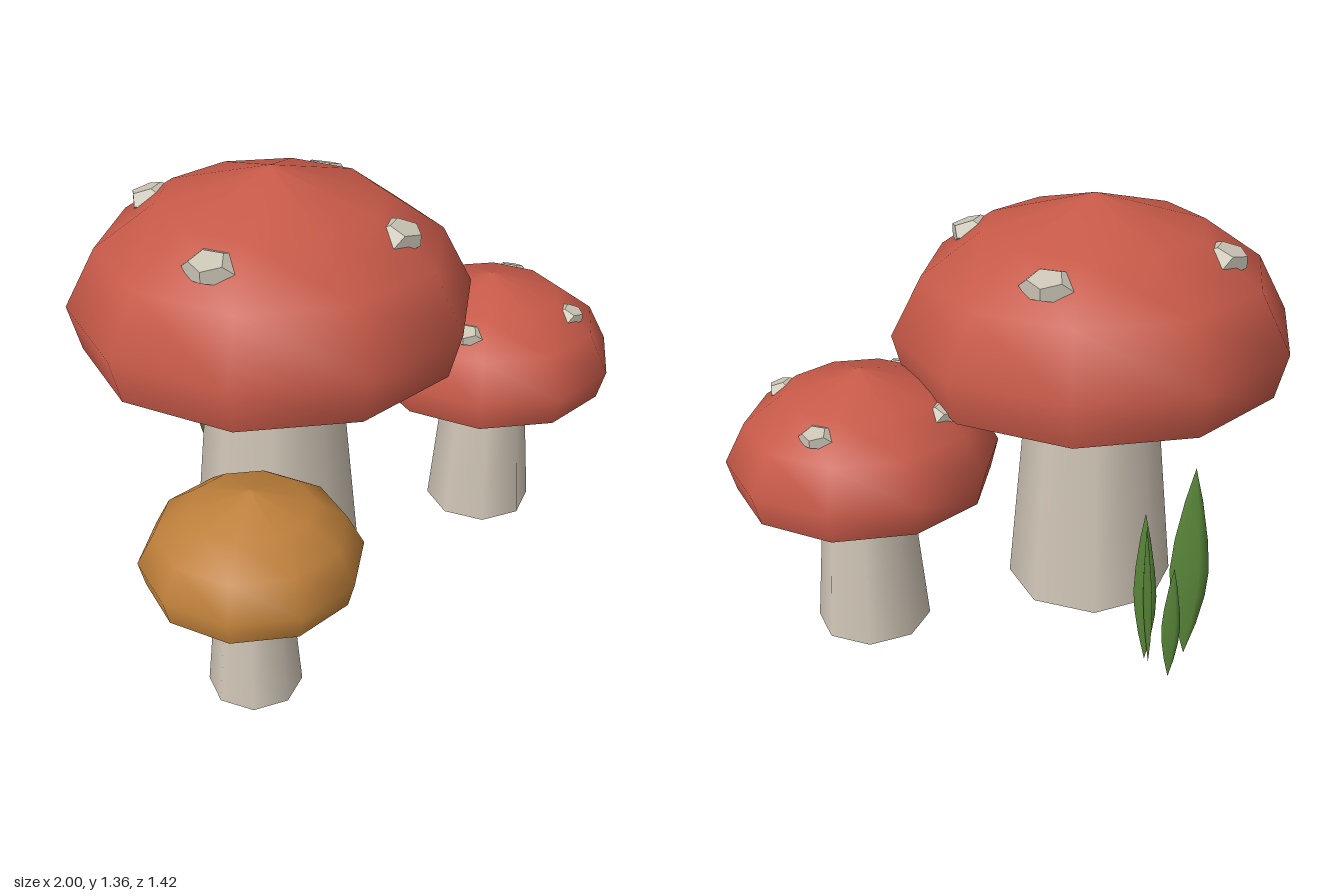
import * as THREE from 'three';

const mat = (name, color) => Object.assign(new THREE.MeshStandardMaterial({ color }), { name });

const add = (parent, name, geometry, material) => {
  const mesh = new THREE.Mesh(geometry, material);
  mesh.name = name;
  parent.add(mesh);
  return mesh;
};

// One mushroom at full size; smaller ones are scaled copies
function mushroom(name, x, z, scale, capMat, stemMat, spotMat) {
  const group = new THREE.Group();
  group.name = name;
  group.position.set(x, 0, z);
  group.scale.setScalar(scale);

  // Tapered eight-sided stem
  const stem = add(group, 'stem', new THREE.CylinderGeometry(0.208, 0.28, 0.79, 8), stemMat);
  stem.position.y = 0.395;

  // Ten-sided domed cap with a flat underside
  const profile = [[0.61, 0.78], [0.65, 0.93], [0.55, 1.12], [0.36, 1.255], [0, 1.36]]
    .map(([r, y]) => new THREE.Vector2(r, y));
  add(group, 'cap', new THREE.LatheGeometry(profile, 10).rotateY(Math.PI / 2), capMat);
  const under = add(group, 'capUnderside', new THREE.CircleGeometry(0.61, 10).rotateX(Math.PI / 2), capMat);
  under.position.y = 0.78;

  // Four flattened chunky spots, a quarter turn apart
  if (spotMat) {
    for (let i = 0; i < 4; i++) {
      const a = 0.4 + i * Math.PI / 2;
      const spot = add(group, 'spot', new THREE.DodecahedronGeometry(0.093), spotMat);
      spot.position.set(Math.sin(a) * 0.4, 1.19, Math.cos(a) * 0.4);
      spot.scale.y = 0.53;
      spot.rotation.y = a;
    }
  }
  return group;
}

// Leaf-shaped blade from base to tip, thin across its width
function blade(base, tip, halfWidth, turn) {
  const profile = [[0, 0], [0.55, 0.17], [0.9, 0.33], [1, 0.46], [0.85, 0.62], [0.45, 0.83], [0, 1]]
    .map(([r, y]) => new THREE.Vector2(r, y));
  const geo = new THREE.LatheGeometry(profile, 6);
  geo.scale(halfWidth * 0.3, tip[1] - base[1], halfWidth).rotateY(turn);
  const p = geo.attributes.position;
  for (let i = 0; i < p.count; i++) {
    const t = p.getY(i) / (tip[1] - base[1]);
    p.setX(i, p.getX(i) + base[0] + (tip[0] - base[0]) * t);
    p.setZ(i, p.getZ(i) + base[2] + (tip[2] - base[2]) * t);
  }
  geo.computeVertexNormals();
  return geo;
}

export function createModel() {
  const red = mat('capRed', 0xc65948);
  const ochre = mat('capOchre', 0xbd7f3a);
  const cream = mat('stemCream', 0xcfc5b6);
  const pale = mat('spotPale', 0xcac4b5);
  const green = mat('grassGreen', 0x578338);

  const model = new THREE.Group();
  model.name = 'mushroomCluster';
  model.add(
    mushroom('largeMushroom', -0.12, -0.097, 1, red, cream, pale),
    mushroom('mediumMushroom', 0.575, 0.24, 0.653, red, cream, pale),
    mushroom('smallMushroom', -0.675, 0.4, 0.5, ochre, cream, null),
  );

  // Grass tuft behind the large stem
  const grass = new THREE.Group();
  grass.name = 'grassTuft';
  model.add(grass);
  [
    [[0.16, 0, -0.575], [0.145, 0.51, -0.55], 0.038, 0.3],
    [[0.165, 0, -0.595], [0.175, 0.49, -0.58], 0.03, -0.4],
    [[0.05, 0, -0.645], [0.01, 0.64, -0.63], 0.06, 0.65],
    [[0.18, 0, -0.685], [0.19, 0.4, -0.7], 0.028, 0.6],
  ].forEach((b) => add(grass, 'grassBlade', blade(...b), green));

  return model;
}
